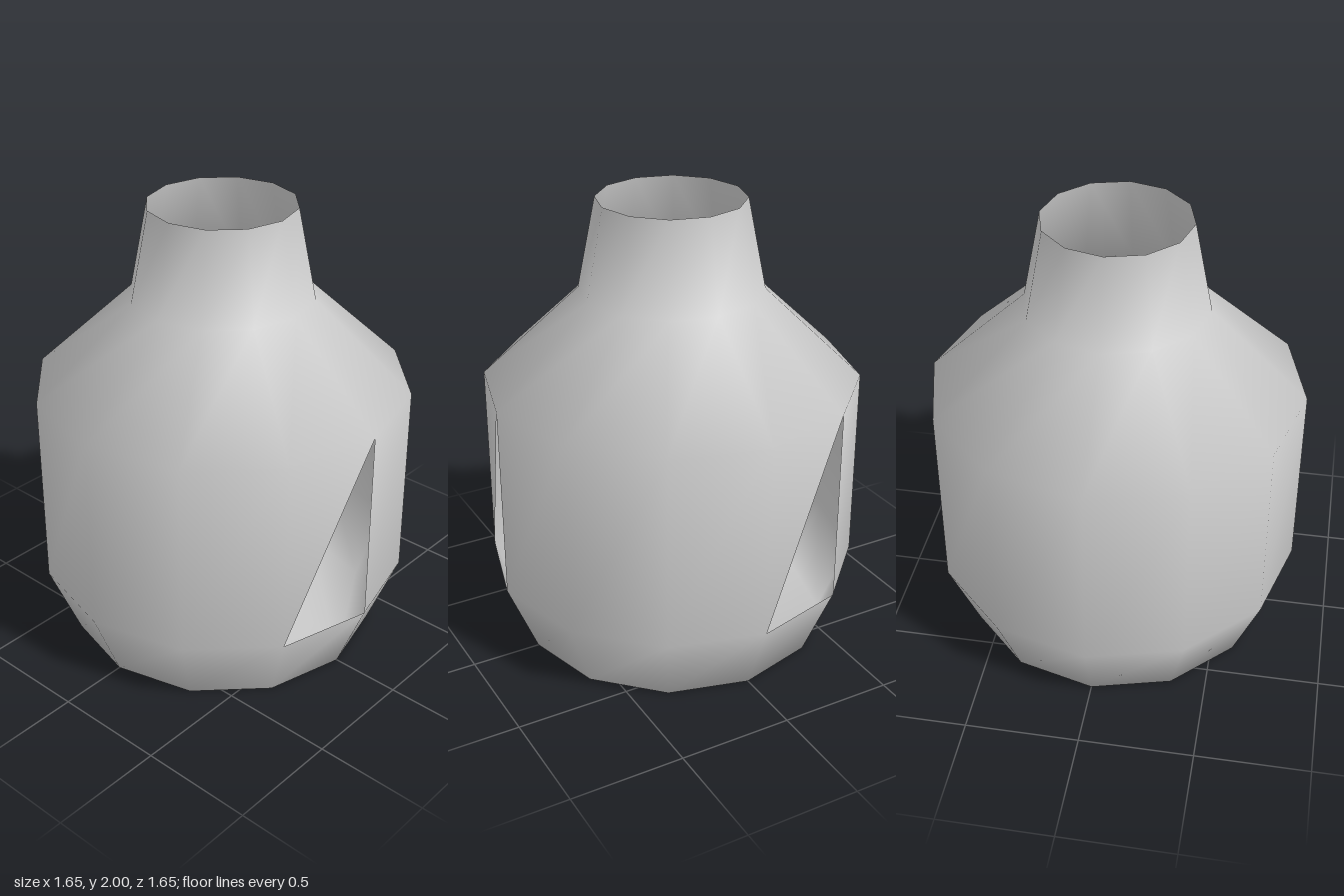
import * as THREE from 'three';

const SIDES = 12;

// Radius and height of each ring, from base to mouth
const PROFILE = [[0.69, 0], [0.825, 0.33], [0.825, 1.2], [0.4, 1.6], [0.32, 2]];

// Wall columns with a triangular opening in the straight part of the body
const OPENINGS = [2, 6];
const BODY_BAND = 1;

function vesselGeometry() {
  const positions = [];
  const index = [];

  // Rings of vertices
  for (const [r, y] of PROFILE) {
    for (let k = 0; k < SIDES; k++) {
      const a = (k / SIDES) * Math.PI * 2;
      positions.push(r * Math.sin(a), y, r * Math.cos(a));
    }
  }

  // Walls, skipping the openings
  for (let band = 0; band < PROFILE.length - 1; band++) {
    for (let k = 0; k < SIDES; k++) {
      const next = (k + 1) % SIDES;
      const a = band * SIDES + k;
      const b = band * SIDES + next;
      const c = a + SIDES;
      const d = b + SIDES;
      if (!(band === BODY_BAND && OPENINGS.includes(k))) index.push(a, b, d);
      index.push(a, d, c);
    }
  }

  // Floor as a fan that shares the base ring, so the bottom edge shades smoothly
  const apex = 3;
  for (let i = 1; i < SIDES - 1; i++) {
    index.push(apex, (apex + i + 1) % SIDES, (apex + i) % SIDES);
  }

  const geometry = new THREE.BufferGeometry();
  geometry.setAttribute('position', new THREE.Float32BufferAttribute(positions, 3));
  geometry.setIndex(index);
  geometry.computeVertexNormals();
  return geometry;
}

export function createModel() {
  const group = new THREE.Group();
  group.name = 'bottle';

  const grey = new THREE.MeshStandardMaterial({ color: 0xcccccc, side: THREE.DoubleSide });
  grey.name = 'light grey';

  // Open-mouthed vessel: floor, bevel, body, shoulder and neck
  const vessel = new THREE.Mesh(vesselGeometry(), grey);
  vessel.name = 'vessel';
  group.add(vessel);

  return group;
}
